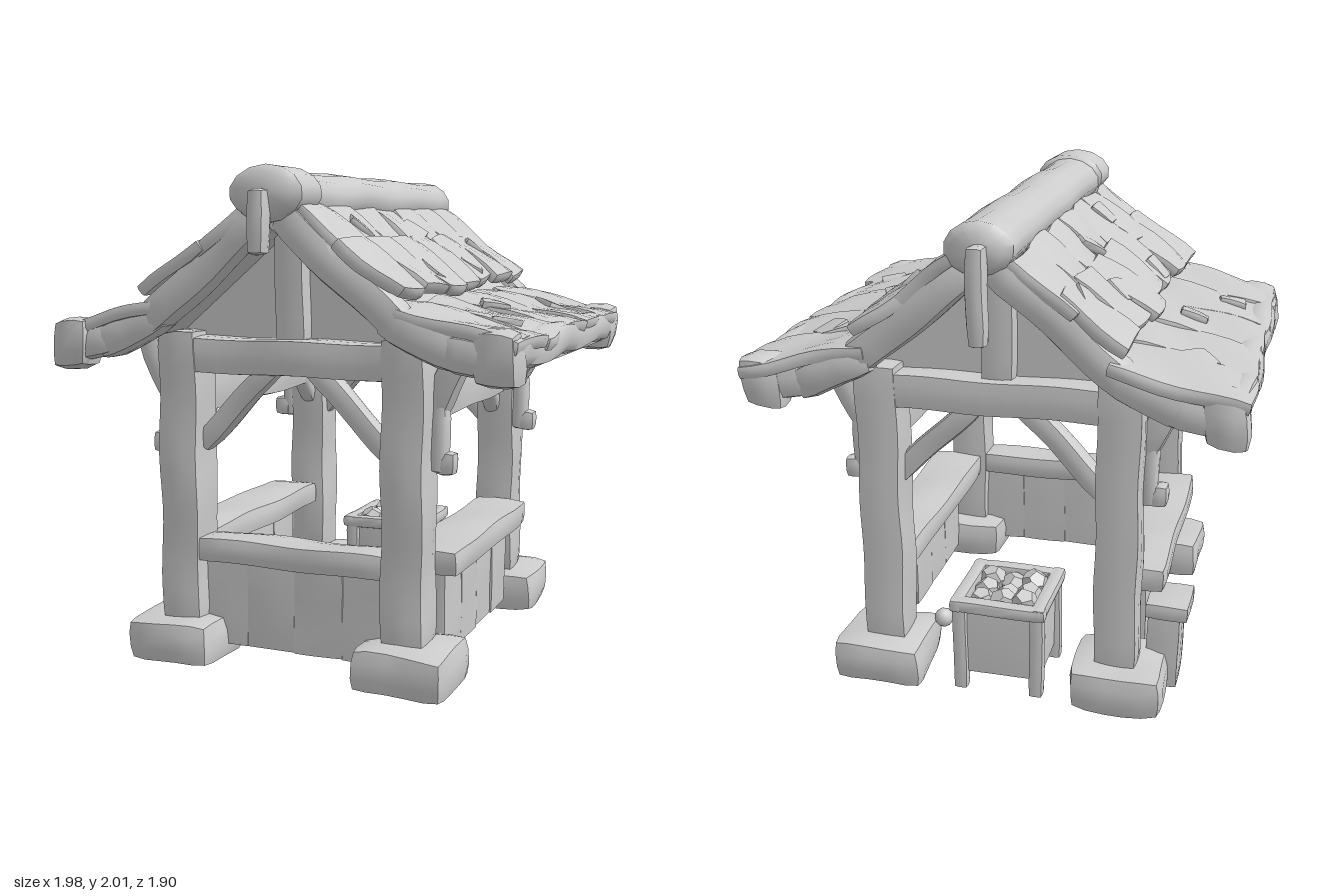
import * as THREE from 'three';
import { mergeVertices, toCreasedNormals } from 'three/addons/utils/BufferGeometryUtils.js';

const V = (x, y, z) => new THREE.Vector3(x, y, z);

export function createModel() {
  const root = new THREE.Group();
  root.name = 'stall';
  const grey = new THREE.MeshStandardMaterial({ color: 0xcccccc });
  grey.name = 'plainGrey';

  let seed = 7;
  const rand = (a = 0, b = 1) => {
    seed = (seed * 16807) % 2147483647;
    return a + (b - a) * (seed / 2147483647);
  };

  // push vertices about by smooth waves so parts look hand carved
  function carve(geo, amount) {
    const p = geo.attributes.position;
    const o = rand(0, 20);
    for (let i = 0; i < p.count; i++) {
      const x = p.getX(i), y = p.getY(i), z = p.getZ(i);
      p.setXYZ(i,
        x + amount * Math.sin(13 * y + 9 * z + o),
        y + amount * Math.sin(11 * z + 12 * x + o * 2),
        z + amount * Math.sin(12 * x + 10 * y + o * 3));
    }
    geo.deleteAttribute('normal');
    geo.deleteAttribute('uv');
    return toCreasedNormals(mergeVertices(geo, 1e-4), 0.8);
  }

  function add(name, geo, parent = root) {
    const mesh = new THREE.Mesh(geo, grey);
    mesh.name = name;
    parent.add(mesh);
    return mesh;
  }

  // softened block of size w, h, d
  function block(name, w, h, d, x, y, z, r = 0.025, amount = 0.004, parent = root) {
    const seg = (s) => Math.min(20, Math.max(3, Math.round(s / 0.07)));
    const geo = new THREE.BoxGeometry(w, h, d, seg(w), seg(h), seg(d));
    const p = geo.attributes.position;
    r = Math.min(r, w / 2.1, h / 2.1, d / 2.1);
    const inner = V(w / 2 - r, h / 2 - r, d / 2 - r), low = inner.clone().negate();
    for (let i = 0; i < p.count; i++) {
      const v = new THREE.Vector3().fromBufferAttribute(p, i);
      const c = v.clone().clamp(low, inner);
      v.sub(c).setLength(r).add(c);
      p.setXYZ(i, v.x, v.y, v.z);
    }
    const mesh = add(name, carve(geo, amount), parent);
    mesh.position.set(x, y, z);
    return mesh;
  }

  // timber running from a to b
  function beam(name, a, b, w, d, r = 0.03, amount = 0.005) {
    const dir = b.clone().sub(a);
    const m = a.clone().add(b).multiplyScalar(0.5);
    const mesh = block(name, w, dir.length(), d, m.x, m.y, m.z, r, amount);
    mesh.quaternion.setFromUnitVectors(V(0, 1, 0), dir.normalize());
    return mesh;
  }

  // plate cut from an outline in the xy plane, centred on z
  function plate(name, pts, depth, z) {
    const shape = new THREE.Shape(pts.map(([x, y]) => new THREE.Vector2(x, y)));
    const geo = new THREE.ExtrudeGeometry(shape, { depth, bevelEnabled: false });
    add(name, geo).position.z = z - depth / 2;
  }

  // corner posts on foundation stones
  for (const sx of [-1, 1]) for (const sz of [-1, 1]) {
    block('foundationStone', 0.38, 0.185, 0.36, sx * 0.497, 0.096, sz * 0.62, 0.045, 0.007);
    block('post', 0.18, 1.22, 0.185, sx * 0.482, 0.76, sz * 0.612, 0.025, 0.004);
    // flared bracket carrying the eave
    beam('eaveBracket', V(sx * 0.55, 1.06, sz * 0.56), V(sx * 0.68, 1.32, sz * 0.56), 0.11, 0.1);
    block('bracketPeg', 0.08, 0.09, 0.08, sx * 0.62, 0.89, sz * 0.57, 0.02);
    block('bracketPost', 0.07, 0.28, 0.08, sx * 0.59, 0.99, sz * 0.57);
    // braces across the end and along the side
    beam('endBrace', V(sx * 0.42, 0.9, sz * 0.6), V(sx * 0.08, 1.24, sz * 0.6), 0.09, 0.09, 0.02);
    beam('sideBrace', V(sx * 0.47, 0.93, sz * 0.56), V(sx * 0.47, 1.1, sz * 0.4), 0.08, 0.08);
  }

  // end frames with boarded gables
  for (const sz of [-1, 1]) {
    block('tieBeam', 1.07, 0.145, 0.15, 0.02, 1.27, sz * 0.62, 0.02, 0.003);
    block('kingPost', 0.13, 0.55, 0.1, 0, 1.57, sz * 0.61, 0.02, 0.003);
    plate('gableBoards', [[-0.5, 1.27], [0.5, 1.27], [0.5, 1.4], [0, 1.82], [-0.5, 1.4]], 0.05, sz * 0.57);
    beam('ridgePeg', V(0, sz > 0 ? 1.67 : 1.54, sz * 0.9), V(0, 1.91, sz * 0.9), 0.075, 0.09, 0.025, 0.003);
  }

  // side plates, counters and boarding
  for (const sx of [-1, 1]) {
    block('sidePlate', 0.11, 0.18, 1.15, sx * 0.48, 1.11, 0, 0.025);
    block('wallPlate', 0.1, 0.16, 1.3, sx * 0.51, 1.28, 0, 0.02);
    block('sideCounter', 0.24, 0.11, 1.04, sx * 0.53, 0.478, 0.015, 0.025);
    for (let i = 0; i < 4; i++) {
      block('sideBoard', 0.06, 0.37, 0.215, sx * (0.54 + rand(-0.005, 0.005)), 0.25, -0.315 + i * 0.212, 0.008, 0.002);
    }
  }
  block('frontRail', 0.86, 0.11, 0.16, 0, 0.478, 0.61);
  for (let i = 0; i < 4; i++) {
    block('frontBoard', 0.215, 0.36, 0.06, -0.315 + i * 0.21, 0.25, 0.6 + rand(-0.005, 0.005), 0.008, 0.002);
  }

  // roof: a bent deck on each slope, edge timbers and overlapping slabs
  const rows = [
    [0.1, 1.84, 0.33, 1.65, 7], [0.27, 1.715, 0.535, 1.525, 7], [0.46, 1.475, 0.965, 1.36, 5],
  ];
  for (const s of [-1, 1]) {
    const deck = [[0, 1.9], [0, 1.78], [0.5, 1.36], [0.93, 1.26], [0.95, 1.36], [0.5, 1.47]];
    plate('roofDeck', deck.map(([x, y]) => [s * x, y]), 1.66, 0);
    for (const z of [-0.79, 0.79]) {
      beam('upperVerge', V(s * 0.04, 1.82, z), V(s * 0.54, 1.4, z), 0.14, 0.13, 0.04);
      beam('middleVerge', V(s * 0.45, 1.45, z), V(s * 0.76, 1.31, z), 0.14, 0.13, 0.04);
      beam('lowerVerge', V(s * 0.68, 1.345, z), V(s * 0.93, 1.29, z), 0.14, 0.13, 0.04);
      block('vergeEnd', 0.18, 0.21, 0.17, s * 0.885, 1.31, z, 0.05, 0.01);
    }
    block('eaveLog', 0.12, 0.13, 1.62, s * 0.915, 1.335, 0, 0.04, 0.008);
    rows.forEach(([x0, y0, x1, y1, count], k) => {
      const step = 1.69 / count;
      for (let i = 0; i < count; i++) {
        const e = k < 2 ? rand(-0.03, 0.03) : rand(-0.005, 0.015);
        const lift = k < 2 ? rand(0, 0.02) : rand(-0.004, 0.004);
        const z = -0.85 + (i + 0.5) * step;
        const slab = beam('roofSlab', V(s * x0, y0 + lift * 0.4, z),
          V(s * (x1 + e), y1 - e * 0.4 + lift, z), 0.06, step * rand(1.02, 1.1), 0.018, 0.009);
        slab.rotateX(rand(-0.06, 0.06));
      }
    });
    // loose chips lying on the slabs
    for (const [x, y, z] of [[0.24, 1.765, -0.08], [0.21, 1.78, 0.42], [0.43, 1.625, -0.3], [0.47, 1.6, 0.24],
      [0.66, 1.45, 0.06], [0.76, 1.43, -0.48], [0.8, 1.42, 0.4], [0.36, 1.67, -0.62]]) {
      const chip = block('roofChip', 0.12, 0.04, 0.12, s * x, y, z + s * 0.03, 0.012, 0.01);
      chip.rotation.set(rand(-0.2, 0.2), 0, -s * (x < 0.5 ? 0.65 : 0.22));
      chip.rotateY(rand(0, 3));
    }
  }

  // ridge log with a thicker collar at the front, both ends slightly domed
  const log = (name, rx, ry, len, x, y, z) => {
    const h = len / 2, b = 0.04;
    const side = Array.from({ length: 14 }, (_, i) => new THREE.Vector2(1, -h + b + (len - 2 * b) * i / 13));
    const profile = [new THREE.Vector2(0, -h), new THREE.Vector2(0.75, -h + 0.01), ...side,
      new THREE.Vector2(0.75, h - 0.01), new THREE.Vector2(0, h)];
    const geo = new THREE.LatheGeometry(profile, 14);
    geo.scale(rx, 1, ry);
    geo.rotateX(Math.PI / 2);
    add(name, carve(geo, 0.004)).position.set(x, y, z);
  };
  log('ridgeLog', 0.13, 0.1, 1.78, 0.01, 1.885, 0);
  log('ridgeCollar', 0.15, 0.1, 0.24, 0.012, 1.898, 0.78);

  // legged crate of produce in the open back
  const crate = new THREE.Group();
  crate.name = 'crate';
  crate.position.set(-0.01, 0, -0.545);
  root.add(crate);
  for (const sx of [-1, 1]) {
    for (const sz of [-1, 1]) {
      block('crateLeg', 0.06, 0.4, 0.06, sx * 0.16, 0.205, sz * 0.16, 0.012, 0.002, crate);
    }
    block('crateSide', 0.03, 0.29, 0.3, sx * 0.155, 0.22, 0, 0.01, 0.002, crate);
    block('crateSide', 0.3, 0.29, 0.03, 0, 0.22, sx * 0.155, 0.01, 0.002, crate);
    block('crateRim', 0.06, 0.055, 0.4, sx * 0.17, 0.385, 0, 0.015, 0.002, crate);
    block('crateRim', 0.4, 0.055, 0.06, 0, 0.385, sx * 0.17, 0.015, 0.002, crate);
  }
  block('crateBase', 0.3, 0.04, 0.3, 0, 0.09, 0, 0.01, 0.002, crate);
  for (let i = 0; i < 9; i++) {
    const lump = add('produce', new THREE.DodecahedronGeometry(0.058), crate);
    lump.position.set(-0.09 + (i % 3) * 0.09, 0.34 + rand(0, 0.05), -0.09 + Math.floor(i / 3) * 0.09);
    lump.rotation.set(rand(0, 3), rand(0, 3), 0);
  }
  add('looseStone', new THREE.IcosahedronGeometry(0.04, 1)).position.set(0.24, 0.28, -0.65);

  // small lidded box outside the right-hand side
  block('sideBox', 0.14, 0.34, 0.18, -0.655, 0.18, -0.45, 0.015, 0.003);
  block('sideBoxLid', 0.18, 0.07, 0.22, -0.67, 0.365, -0.45, 0.015, 0.003);

  return root;
}
